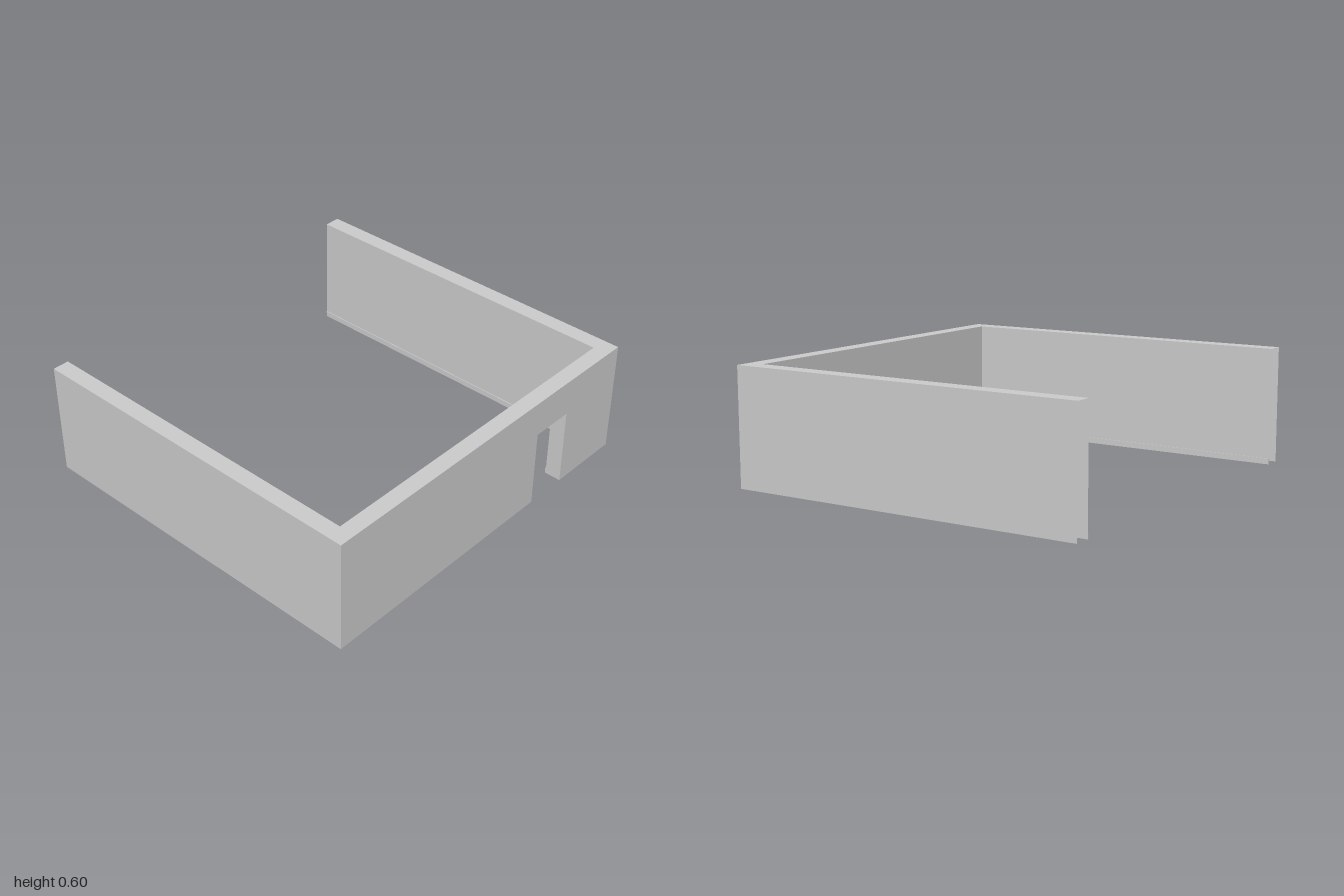
import * as THREE from 'three';

const H = 0.6;                    // wall height
const XO = 1, XI = 0.914;         // outer and inner side faces
const ZO = 0.94, ZI = 0.855;      // outer and inner front faces
const ZB = -0.94;                 // open back end
const DOOR = { l: 0.37, r: 0.6, h: 0.41 };

const mat = new THREE.MeshStandardMaterial({
  color: 0xcccccc, flatShading: true, side: THREE.DoubleSide,
});

const polygon = (pts) => new THREE.ShapeGeometry(
  new THREE.Shape(pts.map(([x, y]) => new THREE.Vector2(x, y))));

export function createModel() {
  const group = new THREE.Group();
  const add = (name, geometry) => {
    const mesh = new THREE.Mesh(geometry, mat);
    mesh.name = name;
    group.add(mesh);
  };

  // Front wall skins, notched for the doorway
  const frontSkin = (w) => polygon([
    [-w, 0], [DOOR.l, 0], [DOOR.l, DOOR.h], [DOOR.r, DOOR.h],
    [DOOR.r, 0], [w, 0], [w, H], [-w, H],
  ]);
  add('frontWallOuter', frontSkin(XO).translate(0, 0, ZO));
  add('frontWallInner', frontSkin(XI).rotateY(Math.PI).scale(-1, 1, 1).translate(0, 0, ZI));

  // Side wall skins: hollow, open at the back end and underneath
  const sideSkin = (x, zFront) => new THREE.PlaneGeometry(zFront - ZB, H)
    .rotateY(Math.PI / 2).translate(x, H / 2, (zFront + ZB) / 2);
  for (const s of [-1, 1]) {
    const side = s > 0 ? 'left' : 'right';
    add(side + 'WallOuter', sideSkin(s * XO, ZO));
    add(side + 'WallInner', sideSkin(s * XI, ZI));
    // Low strip along the inner foot of the wall
    add(side + 'FootStrip', new THREE.BoxGeometry(0.004, 0.03, ZI - ZB)
      .translate(s * (XI - 0.002), 0.015, (ZI + ZB) / 2));
  }

  // Foot strips either side of the doorway
  for (const [a, b] of [[-XI, DOOR.l], [DOOR.r, XI]]) {
    add('frontFootStrip', new THREE.BoxGeometry(b - a, 0.03, 0.004)
      .translate((a + b) / 2, 0.015, ZI - 0.002));
  }

  // U-shaped wall top
  add('wallTop', polygon([
    [-XO, -ZO], [XO, -ZO], [XO, -ZB], [XI, -ZB],
    [XI, -ZI], [-XI, -ZI], [-XI, -ZB], [-XO, -ZB],
  ]).rotateX(-Math.PI / 2).translate(0, H, 0));

  // Doorway lining: two jambs and the underside of the header
  const depth = ZO - ZI, zMid = (ZO + ZI) / 2;
  for (const x of [DOOR.l, DOOR.r]) {
    add('doorJamb', new THREE.PlaneGeometry(depth, DOOR.h)
      .rotateY(x === DOOR.l ? Math.PI / 2 : -Math.PI / 2).translate(x, DOOR.h / 2, zMid));
  }
  add('doorHeader', new THREE.PlaneGeometry(DOOR.r - DOOR.l, depth)
    .rotateX(Math.PI / 2).translate((DOOR.l + DOOR.r) / 2, DOOR.h, zMid));

  return group;
}
